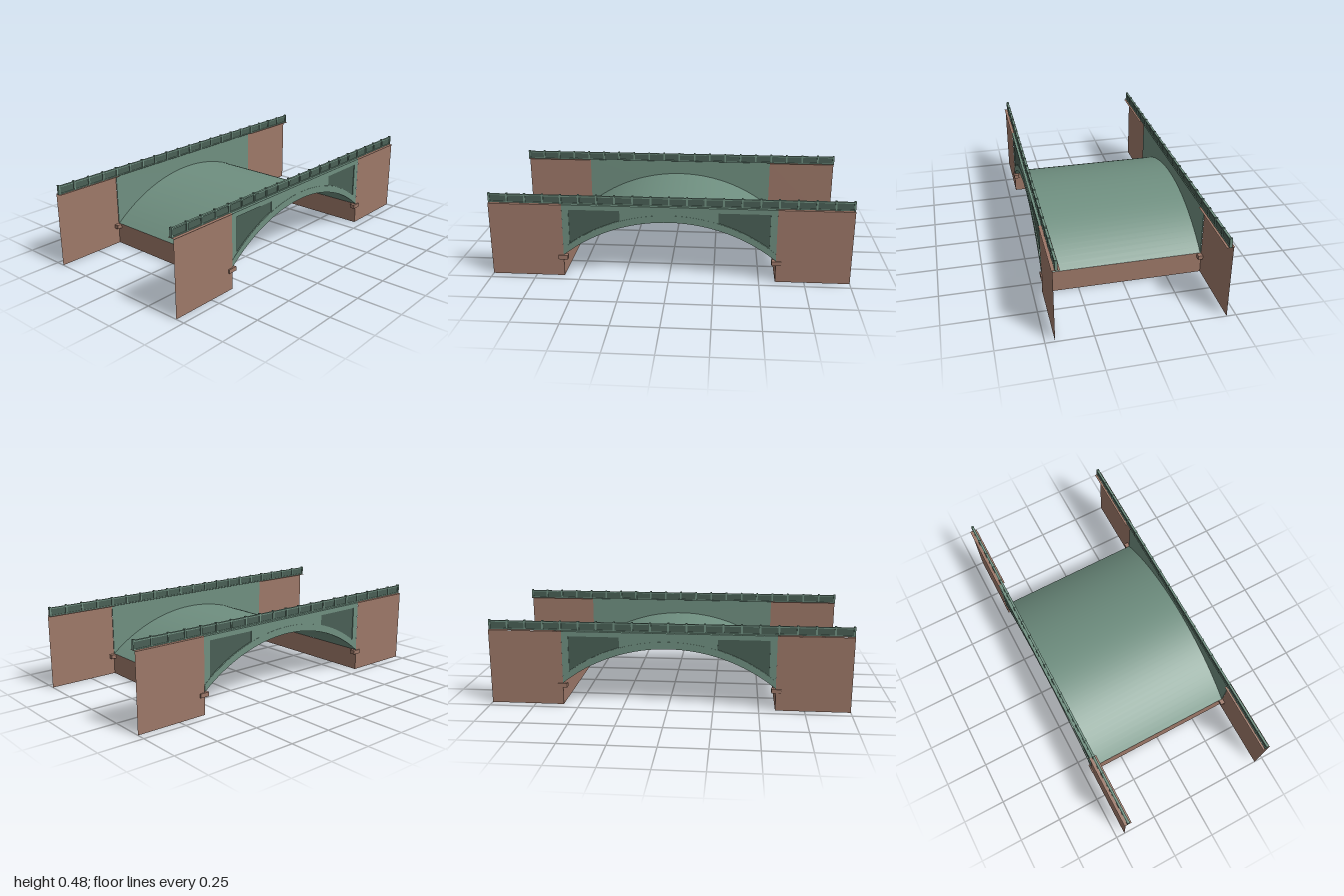
import * as THREE from 'three';

const paint = (name, color) => {
  const m = new THREE.MeshStandardMaterial({ color, side: THREE.DoubleSide });
  m.name = name;
  return m;
};

// Arch through (z 0, y 0.335) and (z ±0.59, y 0.125)
const SPRING = 0.59, R = 0.934, CY = -0.599, TOP = 0.422;
const archY = z => CY + Math.sqrt(R * R - z * z);
const arc = (z0, z1, lift = 0, n = 24) => Array.from({ length: n + 1 }, (_, i) => {
  const z = z0 + (z1 - z0) * i / n;
  return new THREE.Vector2(z, archY(z) + lift);
});

export function createModel() {
  const green = paint('green steel', 0x6f8f80);
  const dark = paint('dark green panel', 0x495f55);
  const brown = paint('brown stone', 0x9d7868);
  const model = new THREE.Group();

  const add = (parent, name, geo, mat, x = 0, y = 0, z = 0) => {
    const m = new THREE.Mesh(geo, mat);
    m.name = name;
    m.position.set(x, y, z);
    parent.add(m);
    return m;
  };
  const box = (parent, name, mat, w, h, d, x, y, z) =>
    add(parent, name, new THREE.BoxGeometry(w, h, d), mat, x, y, z);
  // A (z, y) outline facing +x, as a sheet or extruded inward
  const sheet = s => new THREE.ShapeGeometry(s).rotateY(-Math.PI / 2);
  const slab = (s, depth) =>
    new THREE.ExtrudeGeometry(s, { depth, bevelEnabled: false }).rotateY(-Math.PI / 2);

  // Arched barrel, a thin curved sheet
  const barrel = new THREE.PlaneGeometry(0.9, 2 * SPRING, 1, 40).rotateX(-Math.PI / 2);
  const p = barrel.attributes.position;
  for (let i = 0; i < p.count; i++) p.setY(i, archY(p.getZ(i)));
  barrel.computeVertexNormals();
  add(model, 'archBarrel', barrel, green);

  // Abutment walls under the springings
  for (const s of [1, -1]) {
    const wall = add(model, 'abutmentWall', new THREE.PlaneGeometry(0.9, 0.125), brown, 0, 0.0625, s * SPRING);
    if (s < 0) wall.rotation.y = Math.PI;
  }

  // Outlines of the side wall, its two sunk panels and the arch ring
  const wallOutline = () => new THREE.Shape([...arc(-SPRING, SPRING, 0, 40),
    new THREE.Vector2(SPRING, TOP), new THREE.Vector2(-SPRING, TOP)]);
  const panelPoints = s => [...arc(s * 0.27, s * 0.553, 0.042, 12),
    new THREE.Vector2(s * 0.553, 0.395), new THREE.Vector2(s * 0.27, 0.395)];
  const ringOutline = new THREE.Shape([...arc(-SPRING, SPRING, 0, 40), ...arc(SPRING, -SPRING, 0.04, 40)]);
  const frameOutline = wallOutline();
  frameOutline.holes = [1, -1].map(s => new THREE.Path(panelPoints(s)));

  for (const side of [1, -1]) {
    const g = new THREE.Group();
    g.name = side > 0 ? 'leftSide' : 'rightSide';
    if (side < 0) g.rotation.y = Math.PI;
    model.add(g);

    // Side wall with frame, sunk panels and arch ring
    add(g, 'sideWall', sheet(wallOutline()), green, 0.443);
    add(g, 'sideFrame', slab(frameOutline, 0.004), green, 0.4485);
    add(g, 'archRing', slab(ringOutline, 0.005), green, 0.45);
    for (const s of [1, -1])
      add(g, 'sunkPanel', sheet(new THREE.Shape(panelPoints(s))), dark, 0.4445);

    // Ledge below the parapet
    const ledge = (w, d) => new THREE.PlaneGeometry(w, d).rotateX(-Math.PI / 2);
    add(g, 'deckLedge', ledge(0.027, 2 * SPRING), green, 0.4385, 0.424, 0);

    // Wing walls, their copings and the bearing blocks
    for (const s of [1, -1]) {
      const wing = new THREE.PlaneGeometry(1 - SPRING, TOP).rotateY(Math.PI / 2);
      add(g, 'wingWall', wing, brown, 0.449, TOP / 2, s * (1 + SPRING) / 2);
      add(g, 'wingCoping', ledge(0.042, 1 - SPRING), brown, 0.434, 0.424, s * (1 + SPRING) / 2);
      box(g, 'bearingBlock', brown, 0.032, 0.023, 0.053, 0.44, 0.1115, s * 0.593);
    }

    // Parapet: dark web, two rails and regular posts
    box(g, 'parapetWeb', dark, 0.005, 0.04, 1.99, 0.4315, 0.448, 0);
    box(g, 'bottomRail', green, 0.013, 0.005, 1.99, 0.4315, 0.4275, 0);
    box(g, 'topRail', green, 0.013, 0.007, 1.99, 0.4315, 0.4695, 0);
    for (let i = 0; i <= 20; i++)
      box(g, 'parapetPost', green, 0.015, 0.053, 0.01, 0.4315, 0.4515, -0.995 + i * 0.0995);
  }
  return model;
}
